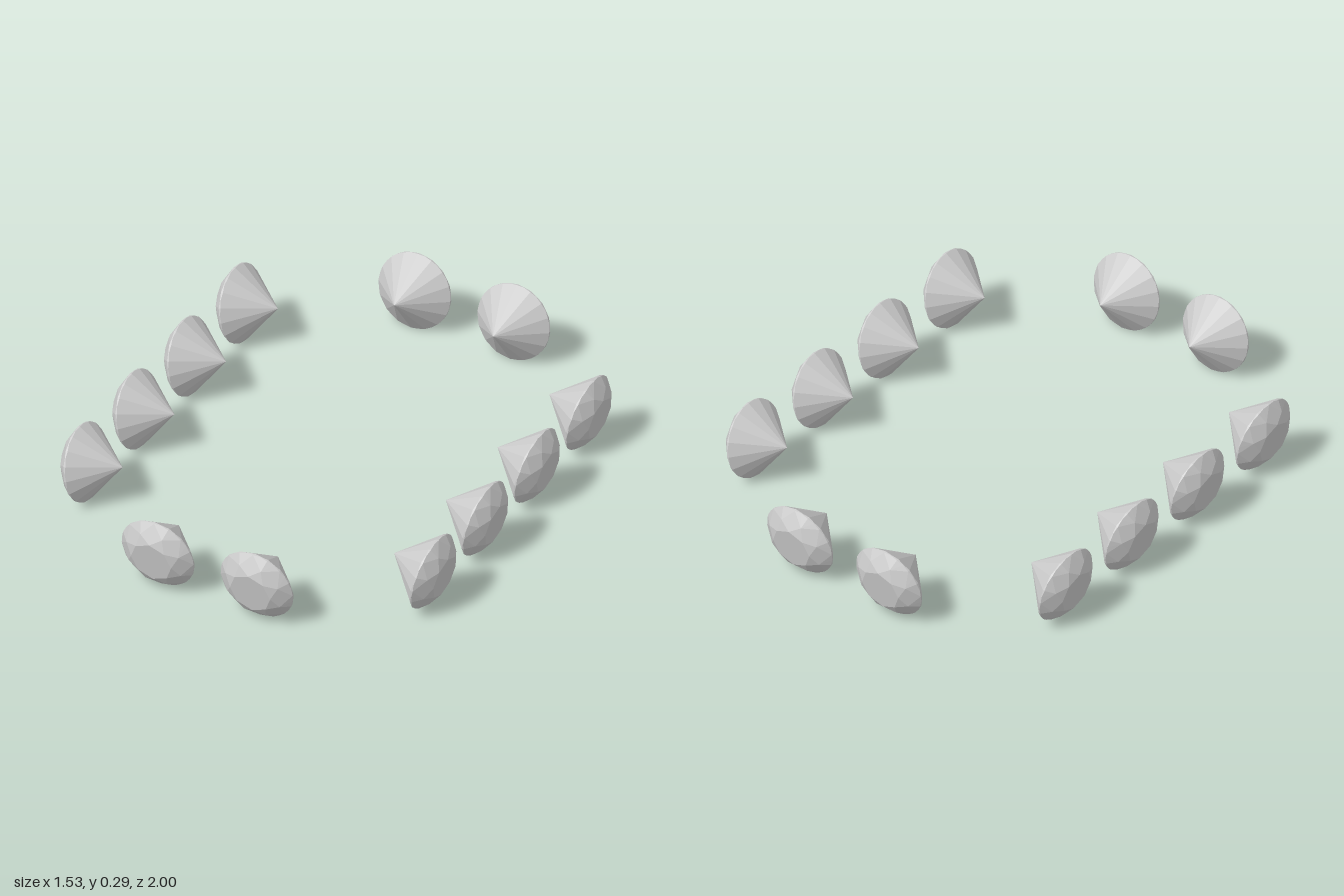
import * as THREE from 'three';

const R = 0.145;        // girdle radius
const TABLE_R = 0.081;  // table radius
const MID_R = 0.114;    // ring where kites and triangles meet
const TABLE_H = 0.053;  // table height above girdle
const GIRDLE_H = 0.004; // half girdle thickness
const DEPTH = 0.154;    // pavilion depth
const STEP = Math.PI / 16;

// Brilliant-cut stone around +z: 8-sided table, kites, 32-point girdle, 16-facet pavilion
function gemGeometry() {
  const p = [];
  const at = (r, k, z) => [r * Math.cos(k * STEP), r * Math.sin(k * STEP), z];
  const tri = (a, b, c) => p.push(...a, ...b, ...c);

  const slope = (TABLE_H - GIRDLE_H) / (R - TABLE_R);
  const midZ = TABLE_H - slope * (MID_R * Math.cos(2 * STEP) - TABLE_R);
  // odd girdle points bulge past the facet chord, giving a scalloped edge
  const sag = R * (1 - Math.cos(STEP));
  const upper = k => at(R, k, k % 2 ? GIRDLE_H - sag * 0.85 : GIRDLE_H);
  const lower = k => at(R, k, k % 2 ? -GIRDLE_H + sag * 1.05 : -GIRDLE_H);
  const table = k => at(TABLE_R, k, TABLE_H);
  const mid = k => at(MID_R, k, midZ);
  const top = [0, 0, TABLE_H], tip = [0, 0, -DEPTH];

  for (let k = 0; k < 32; k += 4) {
    tri(top, table(k), table(k + 4));           // table
    tri(table(k), mid(k + 2), table(k + 4));    // star facet
    tri(table(k), mid(k - 2), upper(k));        // kite facet
    tri(table(k), upper(k), mid(k + 2));
    for (let j = k; j < k + 4; j++) tri(mid(k + 2), upper(j), upper(j + 1)); // upper girdle facets
  }
  for (let k = 0; k < 32; k++) {
    tri(upper(k), lower(k), lower(k + 1));      // girdle band
    tri(upper(k), lower(k + 1), upper(k + 1));
    tri(tip, lower(k + 1), lower(k));           // pavilion
  }
  const g = new THREE.BufferGeometry();
  g.setAttribute('position', new THREE.Float32BufferAttribute(p, 3));
  g.computeVertexNormals();
  return g;
}

export function createModel() {
  const group = new THREE.Group();
  group.name = 'gemSetting';
  const geometry = gemGeometry();
  const material = new THREE.MeshStandardMaterial({ color: 0xcccccc, flatShading: true });

  // Each stone faces outward, tipped slightly down
  const addGem = (name, x, z, turn) => {
    const gem = new THREE.Mesh(geometry, material);
    gem.name = name;
    gem.rotation.order = 'YXZ';
    gem.rotation.set(THREE.MathUtils.degToRad(10), turn, 0);
    gem.position.set(x, 0.1435, z);
    group.add(gem);
  };

  for (const x of [-0.2, 0.2]) {
    addGem('frontGem', x, 0.934, 0);
    addGem('backGem', x, -0.934, Math.PI);
  }
  for (const z of [-0.565, -0.188, 0.188, 0.565]) {
    addGem('leftGem', 0.7, z, Math.PI / 2);
    addGem('rightGem', -0.7, z, -Math.PI / 2);
  }
  return group;
}
